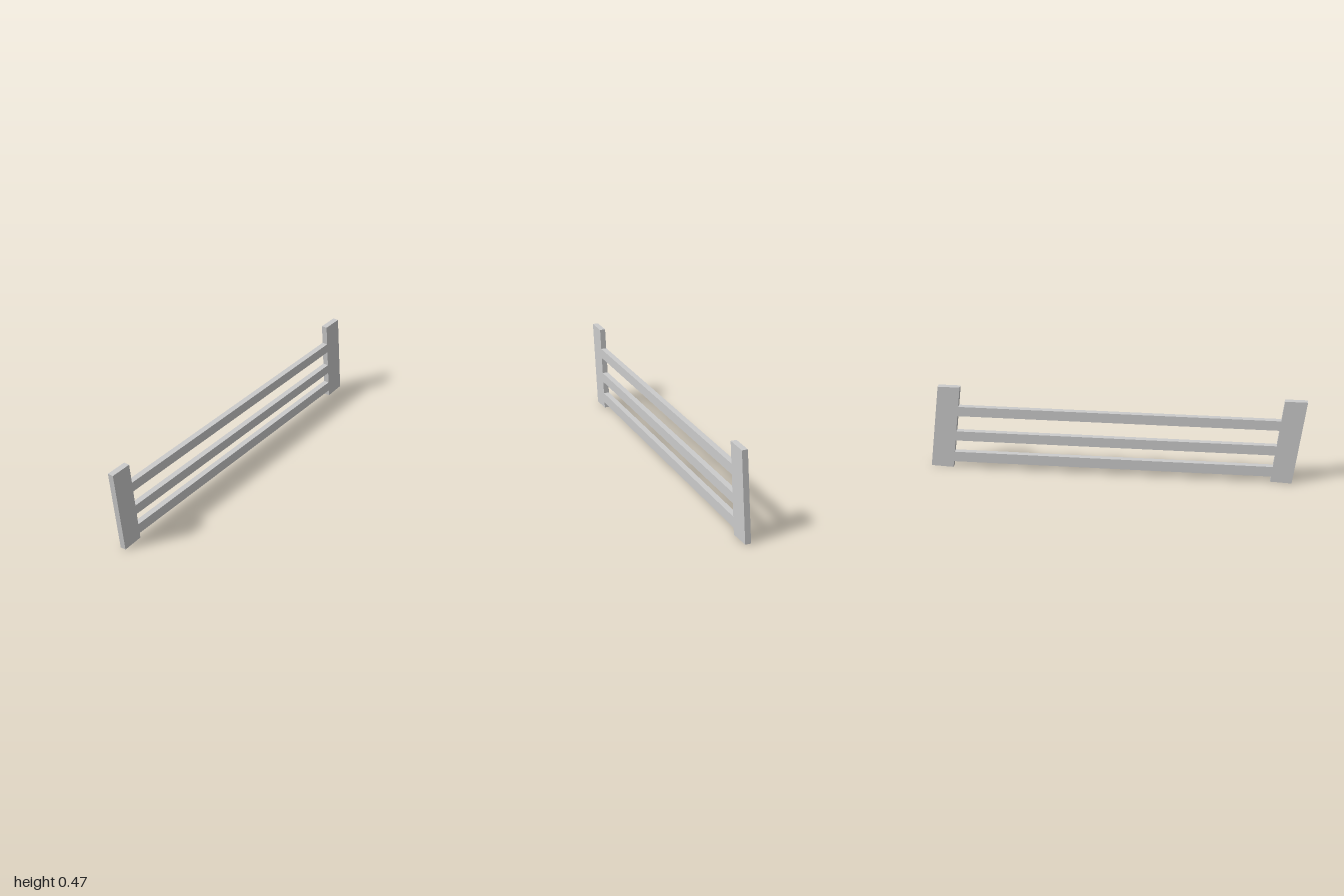
import * as THREE from 'three';

const DEPTH = 0.031;
const HEIGHT = 0.47;
const material = new THREE.MeshStandardMaterial({ color: 0xcccccc, flatShading: true });

// Flat board cut from an outline in the front plane, centred on z = 0
function board(name, points) {
  const shape = new THREE.Shape(points.map(([x, y]) => new THREE.Vector2(x, y)));
  const geometry = new THREE.ExtrudeGeometry(shape, { depth: DEPTH, bevelEnabled: false });
  geometry.translate(0, 0, -DEPTH / 2);
  const mesh = new THREE.Mesh(geometry, material);
  mesh.name = name;
  return mesh;
}

// Inner edges of the leaning posts at height y
const innerRight = (y) => THREE.MathUtils.lerp(0.88, 0.823, y / HEIGHT);
const innerLeft = (y) => THREE.MathUtils.lerp(-0.828, -0.883, y / HEIGHT);

export function createModel() {
  const group = new THREE.Group();
  group.name = 'railing';

  // Leaning end posts, with a slightly tilted foot
  const foot = 0.005;
  group.add(board('rightPost', [
    [-0.942, 0], [innerLeft(foot), foot], [innerLeft(HEIGHT), HEIGHT], [-1, HEIGHT],
  ]));
  group.add(board('leftPost', [
    [innerRight(0), 0], [1, foot], [0.941, HEIGHT], [innerRight(HEIGHT), HEIGHT],
  ]));

  // Three horizontal rails, their ends mitred to the posts
  const rails = [['lowerRail', 0.035, 0.092], ['middleRail', 0.16, 0.214], ['upperRail', 0.304, 0.358]];
  for (const [name, y0, y1] of rails) {
    group.add(board(name, [
      [innerLeft(y0), y0], [innerRight(y0), y0], [innerRight(y1), y1], [innerLeft(y1), y1],
    ]));
  }
  return group;
}
